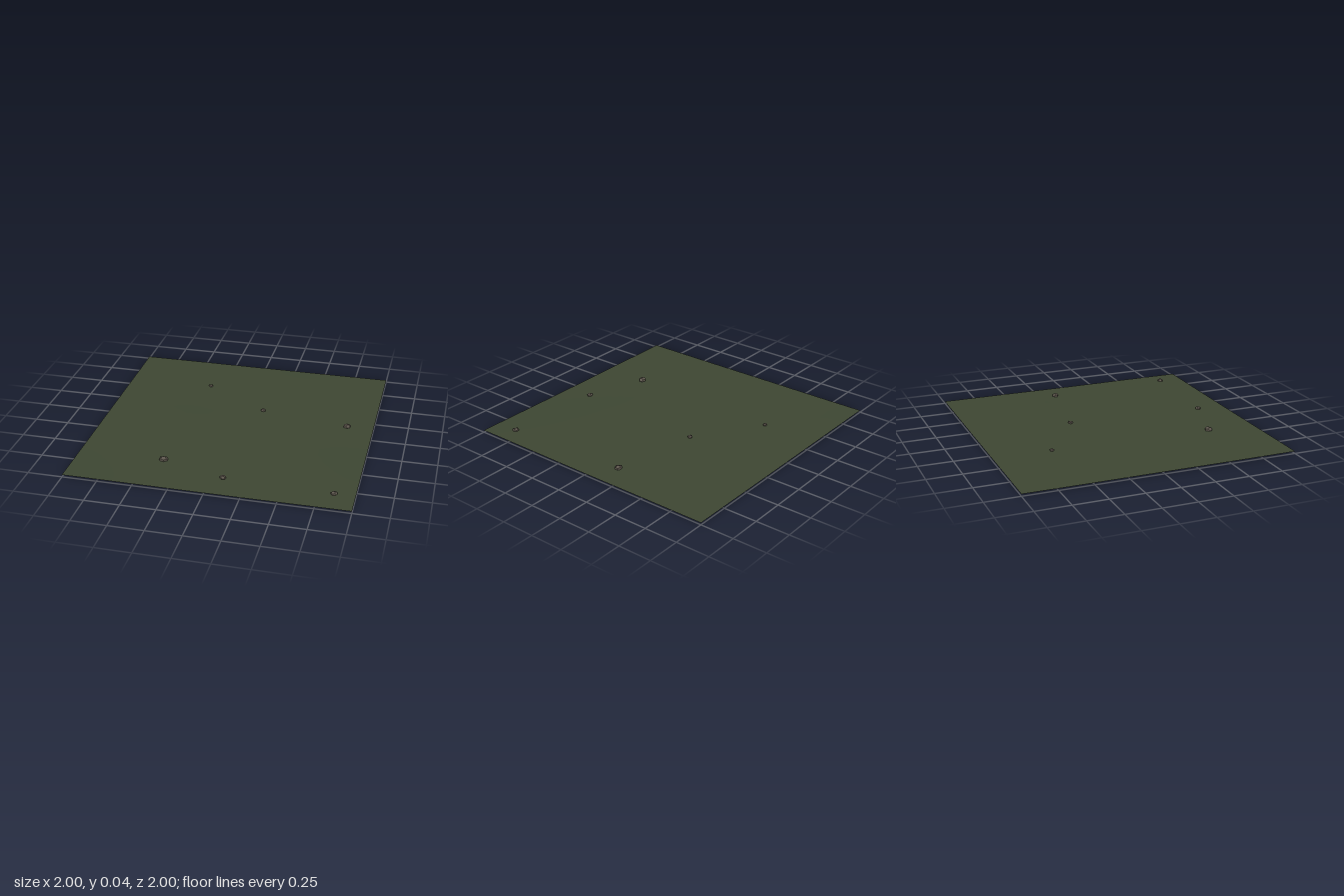
import * as THREE from 'three';

// Height of the gently rolling ground
const groundHeight = (x, z) =>
  0.0165 + 0.0008 * Math.sin(3.1 * x + 1.2) * Math.cos(2.7 * z + 0.4) + 0.0005 * Math.sin(5 * z - 2 * x);

// Stones: x, z, radius, turn
const STONES = [
  [-0.35, -0.57, 0.018, 0.4],
  [0.145, -0.25, 0.021, 1.3],
  [0.805, -0.14, 0.029, 2.1],
  [-0.38, 0.64, 0.033, 0.2],
  [0.085, 0.785, 0.024, 1.8],
  [0.855, 0.815, 0.025, 2.7],
];

export function createModel() {
  const model = new THREE.Group();
  model.name = 'groundTile';

  // Ground: thin, nearly flat square sheet
  const sheet = new THREE.PlaneGeometry(2, 2, 24, 24).rotateX(-Math.PI / 2);
  const p = sheet.attributes.position;
  for (let i = 0; i < p.count; i++) p.setY(i, groundHeight(p.getX(i), p.getZ(i)));
  sheet.computeVertexNormals();
  const ground = new THREE.Mesh(
    sheet,
    new THREE.MeshStandardMaterial({ color: 0x3d4632, side: THREE.DoubleSide }),
  );
  ground.name = 'ground';
  model.add(ground);

  // Stones: flattened faceted pebbles, half sunk in the ground
  const stones = new THREE.Group();
  stones.name = 'stones';
  const stoneMaterial = new THREE.MeshStandardMaterial({ color: 0x5c554c, flatShading: true });
  STONES.forEach(([x, z, r, turn], i) => {
    const stone = new THREE.Mesh(new THREE.DodecahedronGeometry(r, 0).rotateY(turn), stoneMaterial);
    stone.name = `stone${i + 1}`;
    stone.scale.set(1, 0.65, 0.9);
    stone.position.set(x, 0.0215, z);
    stones.add(stone);
  });
  model.add(stones);

  return model;
}
